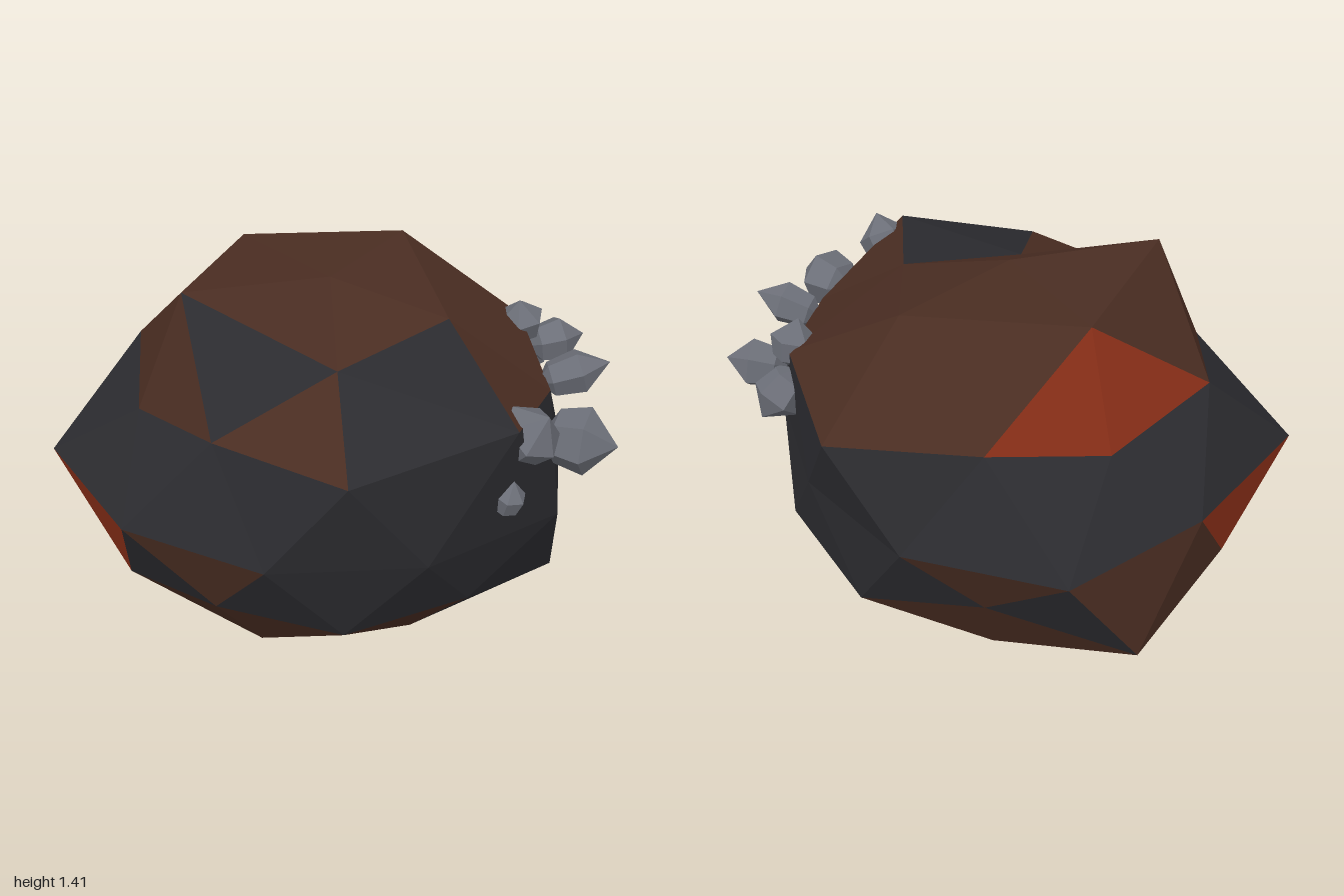
import * as THREE from 'three';

const CENTRE = new THREE.Vector3(-0.02, 0.74, -0.005);
const SQUASH = 0.8; // boulder is flatter than a sphere

// Ring of vertices on a subdivided icosahedron: height on the unit sphere,
// first azimuth in degrees, and how far each vertex is pushed out.
function ring(height, start, radii) {
  const flat = Math.sqrt(1 - height * height);
  return radii.map((r, i) => {
    const a = THREE.MathUtils.degToRad(start + (i * 360) / radii.length);
    return new THREE.Vector3(flat * Math.cos(a), height * SQUASH, flat * Math.sin(a))
      .multiplyScalar(r).add(CENTRE);
  });
}

function createBoulder() {
  const [top] = ring(1, 0, [0.81]);
  const A = ring(0.851, 0, [0.79, 0.7, 0.99, 0.96, 0.96]);
  const U = ring(0.447, 0, [0.87, 0.94, 0.78, 0.73, 0.95]);
  const M = ring(0.526, 36, [1.04, 0.81, 0.85, 0.79, 0.9]);
  const E = ring(0, 18, [0.9, 0.83, 0.83, 0.89, 1.02, 0.86, 0.92, 0.83, 0.79, 0.86]);
  const V = ring(-0.447, 36, [0.82, 0.81, 0.95, 0.79, 0.92]);
  const N = ring(-0.526, 0, [1.0, 0.82, 0.93, 1.04, 0.9]);
  const B = ring(-0.851, 36, [0.88, 0.91, 0.79, 0.97, 0.76]);
  const [bottom] = ring(-1, 0, [0.925]);

  const facets = { d: [], b: [], o: [] };
  const ab = new THREE.Vector3(), ac = new THREE.Vector3(), out = new THREE.Vector3();
  function face(kind, a, b, c) {
    ab.subVectors(b, a);
    ac.subVectors(c, a);
    out.copy(a).add(b).add(c).divideScalar(3).sub(CENTRE);
    const corners = ab.cross(ac).dot(out) > 0 ? [a, b, c] : [a, c, b];
    corners.forEach((p) => facets[kind].push(p.x, p.y, p.z));
  }

  // One fifth at a time; each string gives the colour of that facet per fifth.
  for (let k = 0; k < 5; k++) {
    const n = (k + 1) % 5, p = (k + 4) % 5;
    const e0 = E[2 * k], e1 = E[2 * k + 1], ep = E[(2 * k + 9) % 10];
    // crown
    face('bbbbb'[k], top, A[k], A[n]);
    face('bbbob'[k], A[k], U[k], M[k]);
    face('ddbbb'[k], A[k], M[k], A[n]);
    face('dbobb'[k], A[n], M[k], U[n]);
    // upper band
    face('d', U[k], ep, e0);
    face('d', U[k], M[k], e0);
    face('d', M[k], e0, e1);
    face('d', M[k], e1, U[n]);
    // lower band
    face('dbobd'[k], V[k], e0, e1);
    face('ddobd'[k], N[k], ep, e0);
    face('ddbdd'[k], N[k], e0, V[k]);
    face('ddbdd'[k], V[k], e1, N[n]);
    // underside
    face('dbbbb'[k], V[k], N[k], B[k]);
    face('bbbbd'[k], V[k], B[k], N[n]);
    face('d', N[k], B[k], B[p]);
    face('ddddb'[k], bottom, B[k], B[p]);
  }

  const boulder = new THREE.Group();
  boulder.name = 'boulder';
  const parts = [['d', 'charcoalRock', 0x2b2b2f], ['b', 'brownRock', 0x4a2d22], ['o', 'emberRock', 0x8a2f18]];
  for (const [kind, name, color] of parts) {
    const geometry = new THREE.BufferGeometry();
    geometry.setAttribute('position', new THREE.Float32BufferAttribute(facets[kind], 3));
    geometry.computeVertexNormals();
    const mesh = new THREE.Mesh(geometry, new THREE.MeshStandardMaterial({ color, flatShading: true }));
    mesh.name = name;
    boulder.add(mesh);
  }
  return boulder;
}

function createCrystals() {
  const crystals = new THREE.Group();
  crystals.name = 'crystals';
  const material = new THREE.MeshStandardMaterial({ color: 0x6c6f78, flatShading: true });
  // Blunt root, six-sided body, pointed tip along +y
  const profile = [[0, -1], [0.8, -0.6], [1, 0.2], [0, 1]].map(([x, y]) => new THREE.Vector2(x, y));
  const geometry = new THREE.LatheGeometry(profile, 6);
  // position, growth direction, width, half length
  const list = [
    [[0.72, 1.11, 0.41], [0.3, 0.5, 0.2], 0.1, 0.115],
    [[0.875, 1.0, 0.215], [1, 0.05, 0.2], 0.115, 0.125],
    [[0.68, 0.91, 0.47], [0.2, 1, 0.1], 0.055, 0.07],
    [[0.825, 1.07, -0.12], [1, 0.35, -0.25], 0.08, 0.13],
    [[0.61, 1.12, -0.4], [-0.1, 0.9, 0.25], 0.085, 0.09],
    [[0.74, 1.03, -0.45], [1, 0.2, -0.4], 0.09, 0.11],
    [[0.63, 0.96, -0.49], [0.3, -0.5, -0.4], 0.095, 0.11],
  ];
  const up = new THREE.Vector3(0, 1, 0);
  list.forEach(([position, direction, width, length], i) => {
    const crystal = new THREE.Mesh(geometry, material);
    crystal.name = `crystal${i + 1}`;
    crystal.position.set(...position);
    crystal.quaternion.setFromUnitVectors(up, new THREE.Vector3(...direction).normalize());
    crystal.scale.set(width, length, width);
    crystals.add(crystal);
  });
  return crystals;
}

export function createModel() {
  const model = new THREE.Group();
  model.name = 'crystalBoulder';
  model.add(createBoulder(), createCrystals());
  return model;
}
